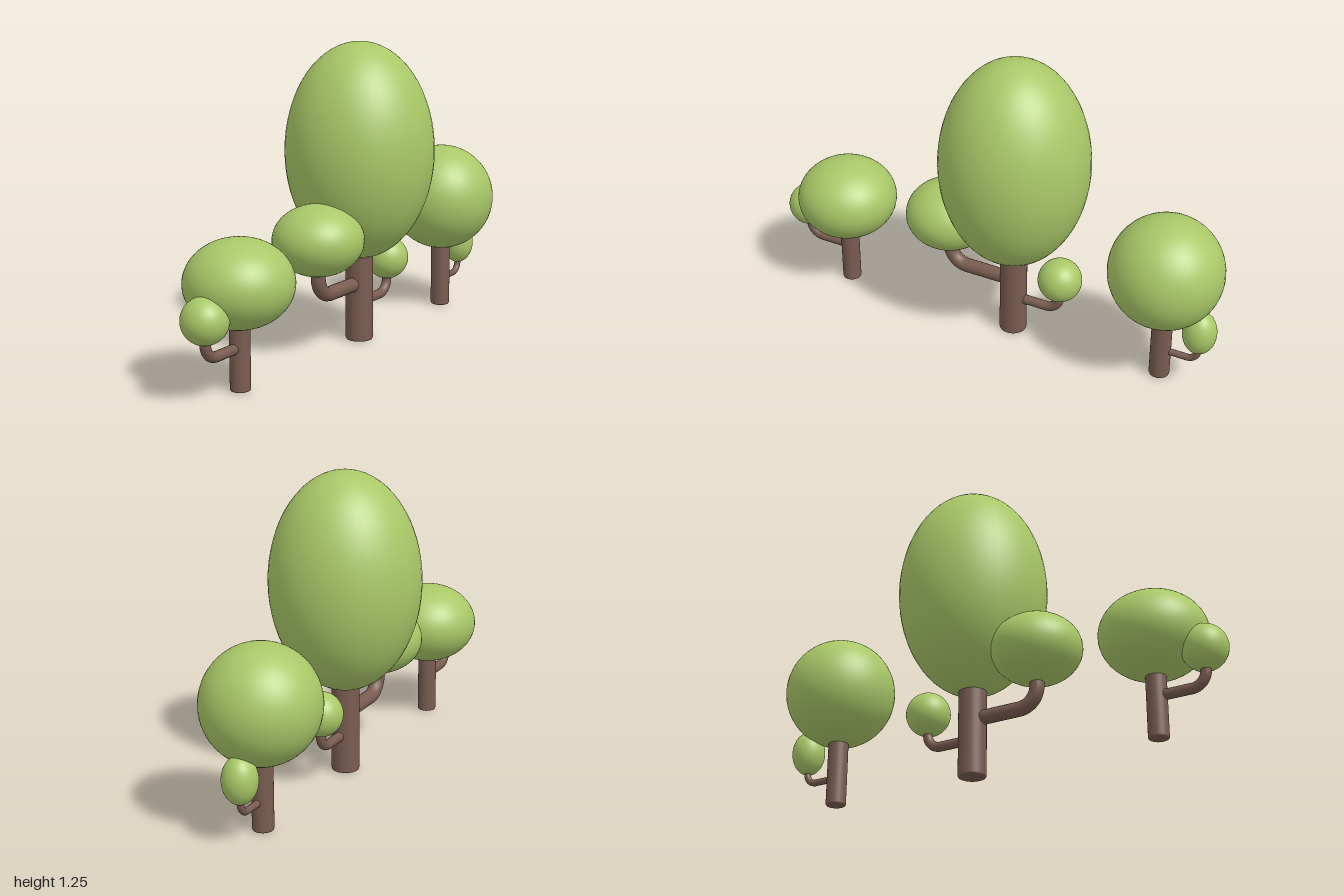
import * as THREE from 'three';

const leaf = new THREE.MeshStandardMaterial({ color: 0xa9c868 });
const bark = new THREE.MeshStandardMaterial({ color: 0x795c50 });

function addMesh(parent, name, geometry, material) {
  const mesh = new THREE.Mesh(geometry, material);
  mesh.name = name;
  parent.add(mesh);
  return mesh;
}

// Ellipsoid of foliage: r is the horizontal radius, h the vertical one
function addFoliage(parent, name, y, z, r, h) {
  const mesh = addMesh(parent, name, new THREE.SphereGeometry(1, 48, 32), leaf);
  mesh.scale.set(r, h, r);
  mesh.position.set(0, y, z);
}

// Upright trunk with slightly rounded rims
function addTrunk(parent, r, height) {
  const b = 0.008;
  const profile = [
    [0, 0], [r - b, 0], [r - b * 0.3, b * 0.3], [r, b],
    [r, height - b], [r - b * 0.3, height - b * 0.3], [r - b, height], [0, height],
  ].map(([x, y]) => new THREE.Vector2(x, y));
  addMesh(parent, 'trunk', new THREE.LatheGeometry(profile, 32), bark);
}

// Branch leaving the trunk level, then bending up into its foliage
function addBranch(parent, { y, z, r, bend, top }) {
  const s = Math.sign(z);
  const path = new THREE.CurvePath();
  const v = (py, pz) => new THREE.Vector3(0, py, pz);
  const k = bend * 0.448;
  path.add(new THREE.LineCurve3(v(y, 0), v(y, z - s * bend)));
  path.add(new THREE.CubicBezierCurve3(
    v(y, z - s * bend), v(y, z - s * k), v(y + k, z), v(y + bend, z)));
  path.add(new THREE.LineCurve3(v(y + bend, z), v(top, z)));
  addMesh(parent, 'branch', new THREE.TubeGeometry(path, 48, r, 16), bark);
}

// Positions of branches and foliage along z are relative to each trunk
const trees = [
  {
    name: 'frontTree', z: 0.708, trunk: [0.04, 0.32], crown: [0.415, 0.212, 0.172],
    sides: [{ y: 0.169, z: 0.202, r: 0.021, bend: 0.06, top: 0.3, leaf: [0.319, 0.091, 0.091] }],
  },
  {
    name: 'middleTree', z: -0.101, trunk: [0.057, 0.5], crown: [0.799, 0.307, 0.447],
    sides: [
      { y: 0.243, z: 0.298, r: 0.03, bend: 0.08, top: 0.42, leaf: [0.48, 0.185, 0.145] },
      { y: 0.159, z: -0.213, r: 0.02, bend: 0.06, top: 0.28, leaf: [0.308, 0.091, 0.091] },
    ],
  },
  {
    name: 'backTree', z: -0.769, trunk: [0.042, 0.36], crown: [0.497, 0.231, 0.232],
    sides: [{ y: 0.12, z: -0.157, r: 0.014, bend: 0.045, top: 0.22, leaf: [0.257, 0.069, 0.094] }],
  },
];

export function createModel() {
  const model = new THREE.Group();
  model.name = 'treeRow';
  for (const t of trees) {
    const tree = new THREE.Group();
    tree.name = t.name;
    tree.position.z = t.z;
    addTrunk(tree, ...t.trunk);
    const [y, r, h] = t.crown;
    addFoliage(tree, 'crown', y, 0, r, h);
    for (const side of t.sides) {
      addBranch(tree, side);
      const [sy, sr, sh] = side.leaf;
      addFoliage(tree, 'branchFoliage', sy, side.z, sr, sh);
    }
    model.add(tree);
  }
  return model;
}
